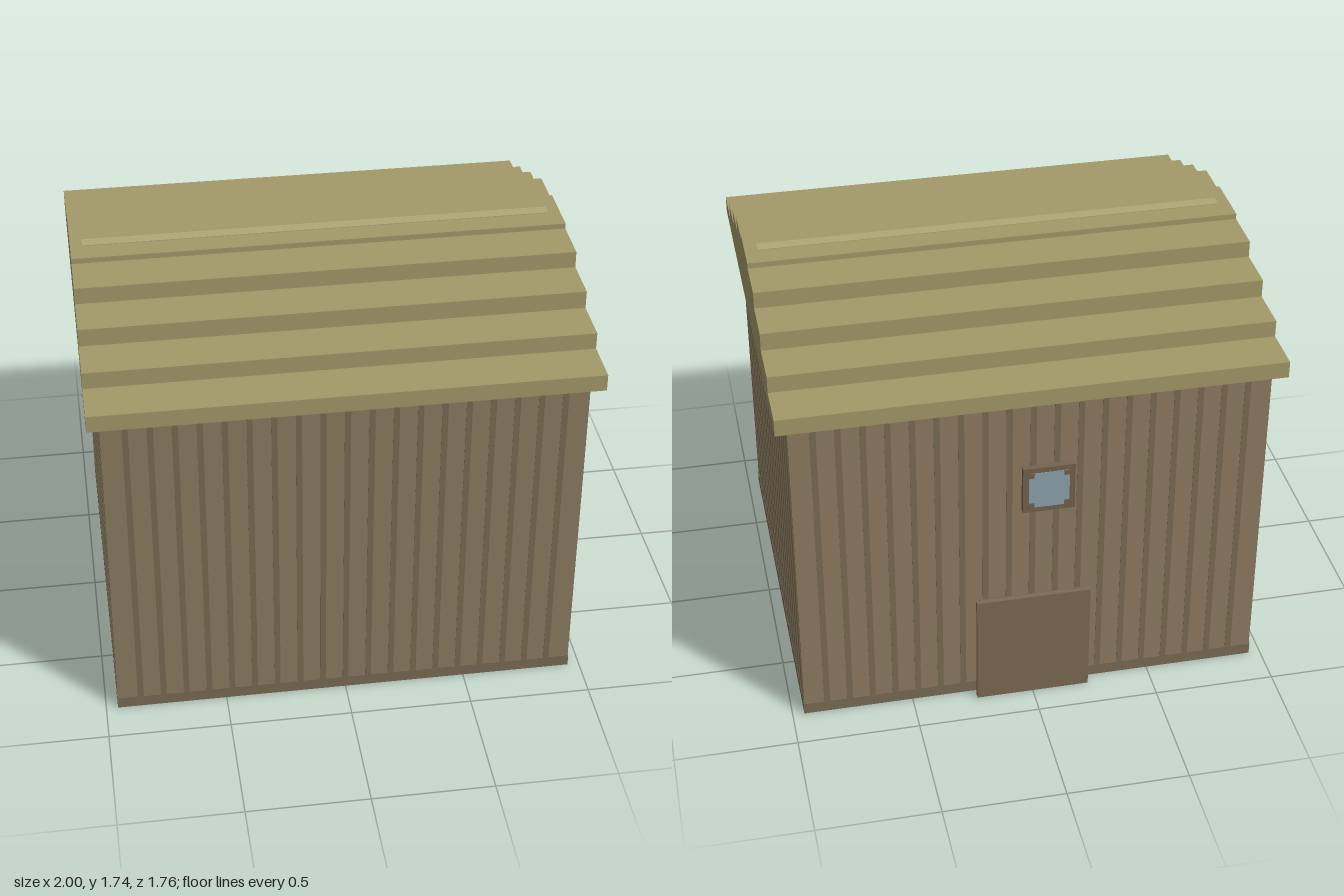
import * as THREE from 'three';

const mat = (color) => new THREE.MeshStandardMaterial({ color, flatShading: true });
const WALL = mat(0x8d7c60), BATTEN = mat(0x7a6c54), ROOF = mat(0xa39a69), RIDGE = mat(0xb0a876);
const DOOR = mat(0x7d6a53), TRIM = mat(0x75634c), GLASS = mat(0x8fa3ad);

export function createModel() {
  const group = new THREE.Group();
  const W = 0.95, D = 0.83, EAVE = 1.43, SKIRT = 0.05, PROUD = 0.002;

  // Box given by its min and max corners
  const box = (name, material, [x0, y0, z0], [x1, y1, z1], parent = group) => {
    const mesh = new THREE.Mesh(new THREE.BoxGeometry(x1 - x0, y1 - y0, z1 - z0), material);
    mesh.position.set((x0 + x1) / 2, (y0 + y1) / 2, (z0 + z1) / 2);
    mesh.name = name;
    parent.add(mesh);
    return mesh;
  };

  // Walls with a dark skirting band
  box('walls', WALL, [-W, 0, -D], [W, EAVE, D]);
  box('skirting', BATTEN, [-W - PROUD, 0, -D - PROUD], [W + PROUD, SKIRT, D + PROUD]);

  // Thin vertical battens; each one wraps through to the opposite wall
  const battens = new THREE.Group();
  battens.name = 'battens';
  group.add(battens);
  const half = 0.012;
  for (let i = -9; i <= 9; i++) {
    const x = i * 0.095;
    for (const s of [-1, 1]) {
      box('batten', BATTEN, [x - half, SKIRT, s * D - PROUD], [x + half, EAVE, s * D + PROUD], battens);
    }
  }
  for (let i = 0; i < 18; i++) {
    const z = 0.75 - i * 0.0905;
    for (const s of [-1, 1]) {
      box('batten', BATTEN, [s * W - PROUD, SKIRT, z - half], [s * W + PROUD, EAVE, z + half], battens);
    }
  }

  // Stepped roof: half-profile of [half depth, top height], mirrored and extruded along x
  const steps = [[0.88, 1.5], [0.69, 1.57], [0.5, 1.645], [0.31, 1.715], [0.12, 1.738]];
  const side = [];
  let y = EAVE;
  for (const [z, top] of steps) {
    side.push([z, y], [z, top]);
    y = top;
  }
  const outline = [...side, ...side.map(([z, h]) => [-z, h]).reverse()];
  const shape = new THREE.Shape(outline.map(([z, h]) => new THREE.Vector2(z, h)));
  const roofGeo = new THREE.ExtrudeGeometry(shape, { depth: 2, bevelEnabled: false });
  roofGeo.translate(0, 0, -1).rotateY(Math.PI / 2);
  const roof = new THREE.Mesh(roofGeo, ROOF);
  roof.name = 'steppedRoof';
  group.add(roof);
  box('ridgeStrip', RIDGE, [-W, 1.73, -0.025], [W, 1.741, 0.025]);

  // Door on the back wall: frame behind, slightly taller leaf in front
  box('doorFrame', TRIM, [-0.215, 0, -0.86], [0.215, 0.48, -D]);
  box('doorLeaf', DOOR, [-0.235, 0, -0.88], [0.235, 0.5, -0.86]);

  // Small window with notched pane corners
  const cx = -0.06, cy = 1.015, r = 0.105, pane = 0.082, notch = 0.022;
  const front = -0.855;
  box('windowFrame', TRIM, [cx - r, cy - r, front], [cx + r, cy + r, -D]);
  box('windowPane', GLASS, [cx - pane, cy - pane, front - PROUD], [cx + pane, cy + pane, front + 0.004]);
  for (const sx of [-1, 1]) for (const sy of [-1, 1]) {
    const px = cx + sx * (pane - notch / 2), py = cy + sy * (pane - notch / 2);
    box('paneCorner', TRIM, [px - notch / 2, py - notch / 2, front - 2 * PROUD],
      [px + notch / 2, py + notch / 2, front]);
  }
  return group;
}
